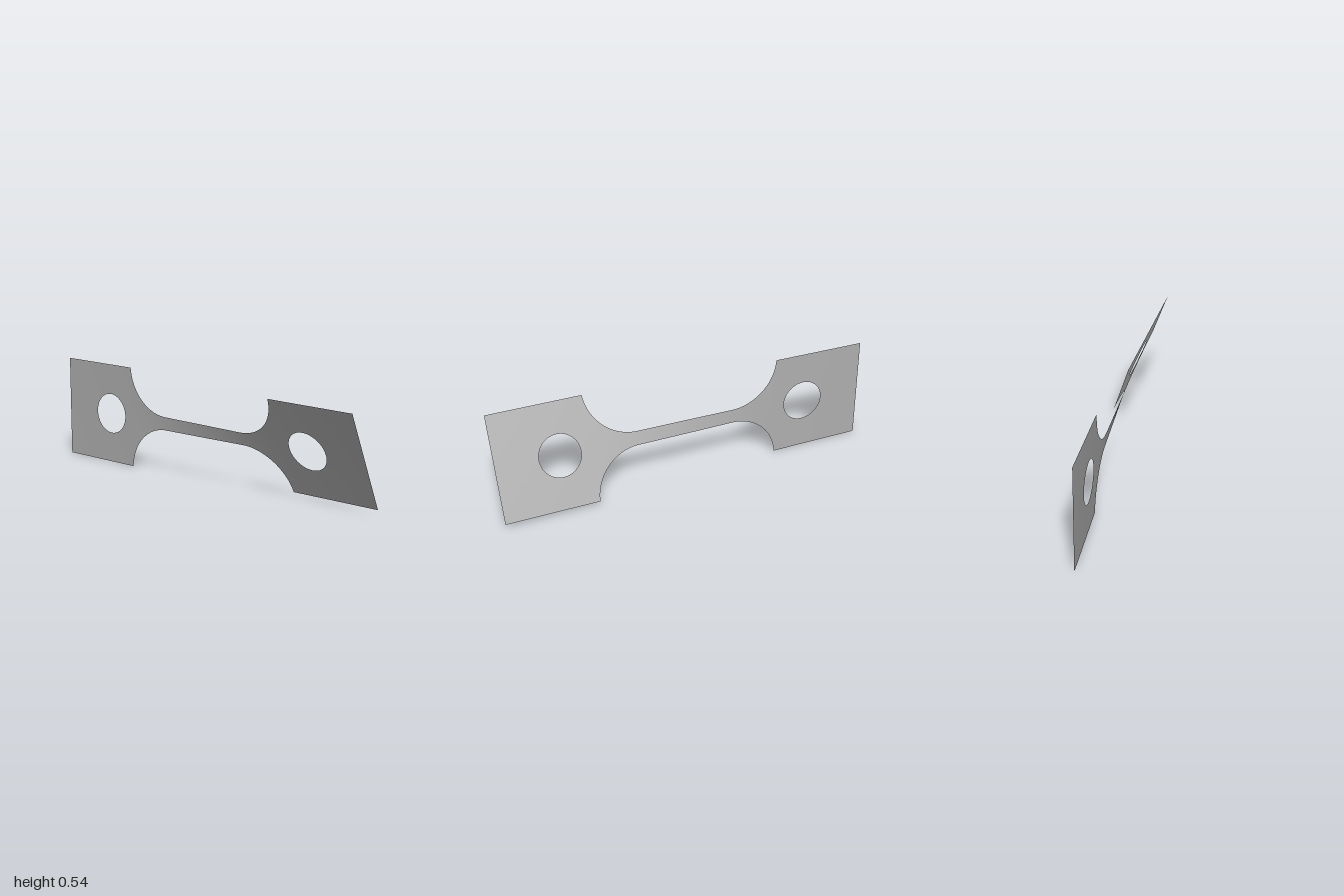
import * as THREE from 'three';
import { mergeGeometries, mergeVertices } from 'three/addons/utils/BufferGeometryUtils.js';

const HALF = 0.271;      // half height of the grips
const NECK = 0.036;      // half height of the narrow gauge
const FILLET_X = 0.26, FILLET_R = 0.25, GRIP_X = 0.51;
const HOLE_X = 0.67, HOLE_R = 0.108;
const TWIST = THREE.MathUtils.degToRad(24.8);

// half height of the outline along the strip
function halfHeight(x) {
  const a = Math.abs(x);
  if (a >= GRIP_X) return HALF;
  if (a <= FILLET_X) return NECK;
  const d = a - FILLET_X;
  return Math.min(HALF, NECK + FILLET_R - Math.sqrt(Math.max(0, FILLET_R ** 2 - d * d)));
}

// accumulated twist: narrow sections turn more than wide ones
const STEPS = 400;
const turns = [0];
for (let i = 0; i < STEPS; i++) {
  const x = -1 + (2 * (i + 0.5)) / STEPS;
  const rate = (Math.abs(x) > GRIP_X ? 0.75 : 1) / halfHeight(x);
  turns.push(turns[i] + rate);
}
function twist(x) {
  const t = THREE.MathUtils.clamp((x + 1) / 2, 0, 1) * STEPS;
  const i = Math.min(STEPS - 1, Math.floor(t));
  return (TWIST * THREE.MathUtils.lerp(turns[i], turns[i + 1], t - i)) / turns[STEPS];
}

// twisted sheet between two height curves, over the given x stations
function sheet(xs, low, high, rows = 6) {
  const positions = [], index = [];
  xs.forEach((x, i) => {
    const angle = twist(x);
    for (let j = 0; j <= rows; j++) {
      const h = THREE.MathUtils.lerp(low(x), high(x), j / rows);
      positions.push(x, HALF + h * Math.cos(angle), h * Math.sin(angle));
      if (i < xs.length - 1 && j < rows) {
        const a = i * (rows + 1) + j, b = a + rows + 1;
        index.push(a, b, b + 1, a, b + 1, a + 1);
      }
    }
  });
  const geometry = new THREE.BufferGeometry();
  geometry.setAttribute('position', new THREE.Float32BufferAttribute(positions, 3));
  geometry.setIndex(index);
  return geometry;
}

const stations = (from, to, n) =>
  Array.from({ length: n + 1 }, (_, i) => from + ((to - from) * i) / n);

function smooth(parts) {
  const geometry = mergeVertices(mergeGeometries(parts), 1e-5);
  geometry.computeVertexNormals();
  return geometry;
}

// flat end with a round hole
function gripGeometry(side) {
  const c = side * HOLE_X;
  const hole = (x) => Math.sqrt(Math.max(0, HOLE_R ** 2 - (x - c) ** 2));
  const top = () => HALF, bottom = () => -HALF;
  const inner = [-1, GRIP_X * side].includes(-1) && side < 0 ? -GRIP_X : 1;
  const outer = side < 0 ? -1 : GRIP_X;
  const across = Array.from({ length: 41 }, (_, i) => c - HOLE_R * Math.cos((Math.PI * i) / 40));
  return smooth([
    sheet(stations(outer, c - HOLE_R, 6), bottom, top, 12),
    sheet(across, hole, top),
    sheet(across, bottom, (x) => -hole(x)),
    sheet(stations(c + HOLE_R, inner, 6), bottom, top, 12),
  ]);
}

export function createModel() {
  const group = new THREE.Group();
  group.name = 'twistedTestStrip';
  const metal = new THREE.MeshStandardMaterial({ color: 0xb0b0b0, side: THREE.DoubleSide });
  metal.name = 'grey metal';

  const add = (name, geometry) => {
    const mesh = new THREE.Mesh(geometry, metal);
    mesh.name = name;
    group.add(mesh);
  };

  add('rightGrip', gripGeometry(-1));
  add('leftGrip', gripGeometry(1));

  // narrow gauge flaring through round fillets into both grips
  const flare = Array.from({ length: 29 }, (_, i) =>
    FILLET_X + (GRIP_X - FILLET_X) * Math.sin((Math.PI / 2) * (i / 28)));
  const xs = [
    ...flare.map((x) => -x).reverse(),
    ...stations(-FILLET_X, FILLET_X, 40).slice(1, -1),
    ...flare,
  ];
  add('gauge', smooth([sheet(xs, (x) => -halfHeight(x), halfHeight, 12)]));
  return group;
}
